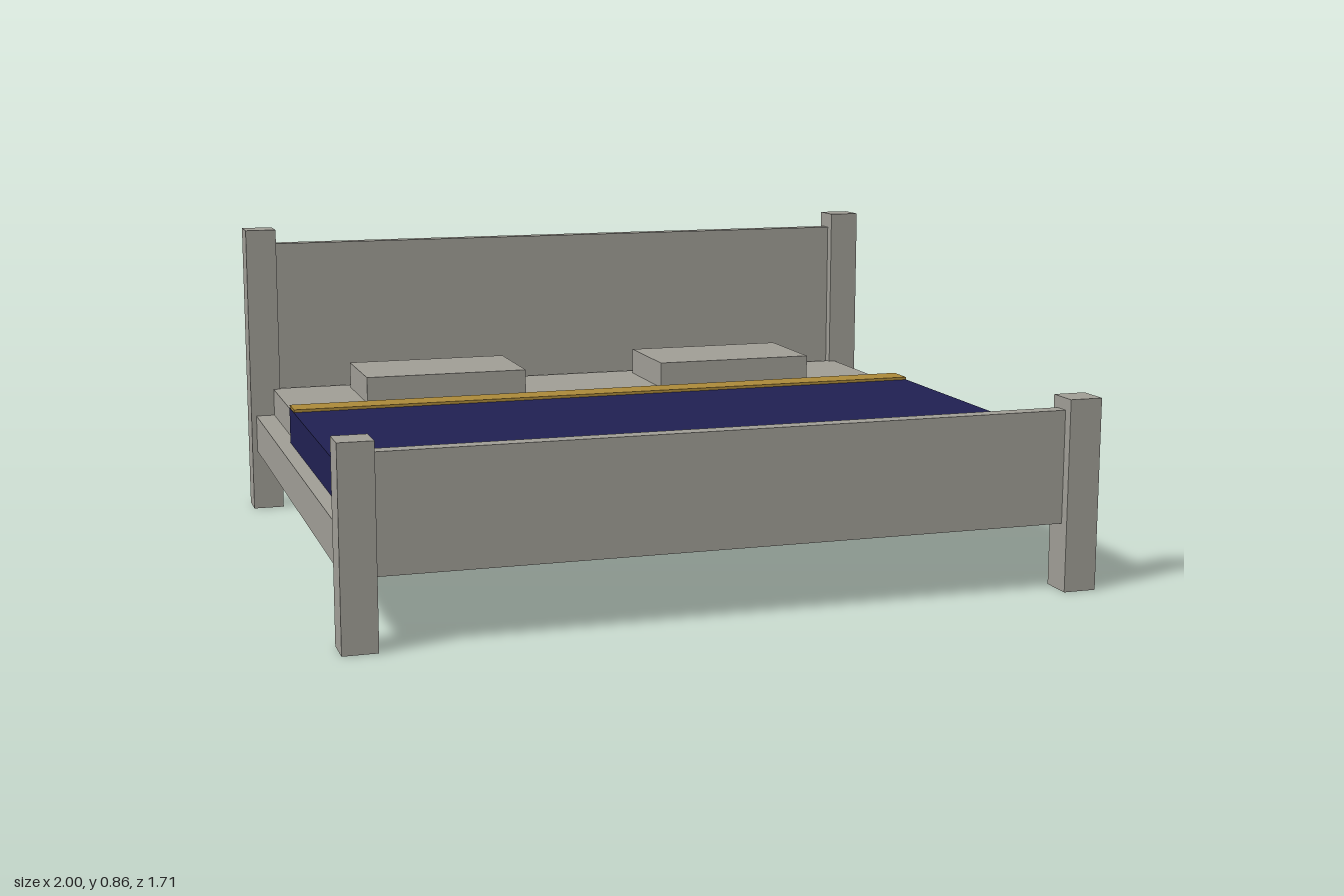
import * as THREE from 'three';

const wood = new THREE.MeshStandardMaterial({ color: 0xa09e96, side: THREE.DoubleSide });
wood.name = 'warmGrey';
const navy = new THREE.MeshStandardMaterial({ color: 0x202052, side: THREE.DoubleSide });
navy.name = 'navy';
const gold = new THREE.MeshStandardMaterial({ color: 0xac8a3a, side: THREE.DoubleSide });
gold.name = 'gold';

// Box given by its limits on each axis
function box(name, material, [x0, x1], [y0, y1], [z0, z1]) {
  const geometry = new THREE.BoxGeometry(x1 - x0, y1 - y0, z1 - z0);
  geometry.translate((x0 + x1) / 2, (y0 + y1) / 2, (z0 + z1) / 2);
  const mesh = new THREE.Mesh(geometry, material);
  mesh.name = name;
  return mesh;
}

// Same box without its bottom face, like a cover draped over something
function cover(...args) {
  const mesh = box(...args);
  const index = Array.from(mesh.geometry.index.array);
  index.splice(18, 6);
  mesh.geometry.setIndex(index);
  mesh.geometry.clearGroups();
  return mesh;
}

export function createModel() {
  const bed = new THREE.Group();
  bed.name = 'bed';

  // Posts, side rails and pillows, mirrored left and right
  for (const [side, s] of [['left', 1], ['right', -1]]) {
    const span = (a, b) => (s > 0 ? [a, b] : [-b, -a]);
    bed.add(
      box(side + 'HeadPost', wood, span(0.91, 1), [0, 0.86], [-0.855, -0.765]),
      box(side + 'FootPost', wood, span(0.91, 1), [0, 0.515], [0.765, 0.855]),
      box(side + 'SideRail', wood, span(0.93, 0.985), [0.18, 0.29], [-0.77, 0.77]),
      box(side + 'Pillow', wood, span(0.215, 0.698), [0.37, 0.447], [-0.735, -0.44])
    );
  }

  // End boards
  bed.add(
    box('headboard', wood, [-0.91, 0.91], [0.18, 0.815], [-0.835, -0.795]),
    box('footboard', wood, [-0.91, 0.91], [0.18, 0.483], [0.785, 0.828])
  );

  // Bedding, hollow underneath
  bed.add(
    cover('mattress', wood, [-0.93, 0.93], [0.285, 0.37], [-0.78, 0.783]),
    cover('blanket', navy, [-0.945, 0.945], [0.29, 0.392], [-0.315, 0.784]),
    cover('blanketBand', gold, [-0.944, 0.944], [0.29, 0.4], [-0.316, -0.232])
  );
  return bed;
}
